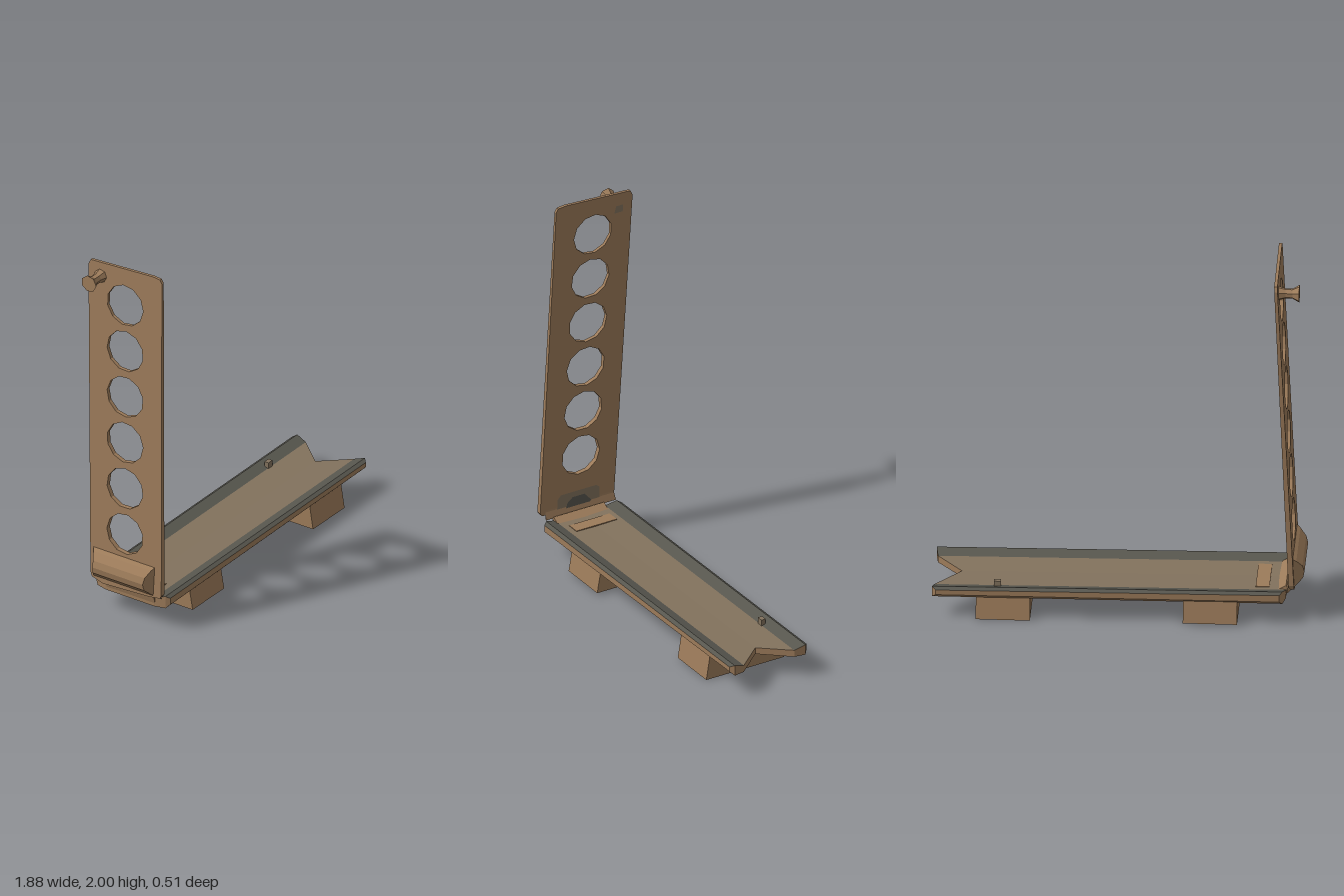
import * as THREE from 'three';

const mat = (name, color) => {
  const m = new THREE.MeshStandardMaterial({ color, flatShading: true });
  m.name = name;
  return m;
};

export function createModel() {
  const wood = mat('brown wood', 0x9c7b5a);
  const channel = mat('greyed wood', 0x82725d);
  const grey = mat('dark grey', 0x57564e);
  const root = new THREE.Group();
  root.name = 'hingedSplint';

  const add = (name, geometry, material, parent = root) => {
    const mesh = new THREE.Mesh(geometry, material);
    mesh.name = name;
    parent.add(mesh);
    return mesh;
  };
  const moveVertices = (geometry, rule) => {
    const p = geometry.attributes.position;
    const v = new THREE.Vector3();
    for (let i = 0; i < p.count; i++) {
      rule(v.fromBufferAttribute(p, i));
      p.setXYZ(i, v.x, v.y, v.z);
    }
    geometry.computeVertexNormals();
    return geometry;
  };
  const quads = (list) => {
    const pos = [];
    for (const [a, b, c, d] of list) pos.push(...a, ...b, ...c, ...a, ...c, ...d);
    const g = new THREE.BufferGeometry();
    g.setAttribute('position', new THREE.Float32BufferAttribute(pos, 3));
    g.computeVertexNormals();
    return g;
  };
  const toShape = (pts) => new THREE.Shape(pts.map(([x, y]) => new THREE.Vector2(x, y)));

  // Base board: lengthwise columns from front to back [z, top, bottom, xStart, xEnd]
  const columns = [
    [0.23, 0.172, 0.14, -0.82, 0.92], [0.21, 0.183, 0.12, -0.835, 0.94],
    [0.15, 0.163, 0.12, -0.85, 0.93], [0, 0.16, 0.12, -0.85, 0.8],
    [-0.15, 0.163, 0.12, -0.85, 0.93], [-0.21, 0.183, 0.12, -0.835, 0.94],
    [-0.23, 0.172, 0.14, -0.82, 0.92],
  ];
  const corner = (c, end, top) => {
    const x = end ? c[4] : c[3];
    return [x, top ? c[1] - 0.006 * x : c[2], c[0] + 0.012 - 0.014 * x];
  };
  const body = [], rails = [], floor = [];
  const side = (c) => [corner(c, 0, 0), corner(c, 1, 0), corner(c, 1, 1), corner(c, 0, 1)];
  for (let i = 0; i < columns.length - 1; i++) {
    const a = columns[i], b = columns[i + 1];
    (i === 2 || i === 3 ? floor : rails).push(
      [corner(a, 0, 1), corner(a, 1, 1), corner(b, 1, 1), corner(b, 0, 1)]);
    body.push(
      [corner(a, 0, 0), corner(b, 0, 0), corner(b, 1, 0), corner(a, 1, 0)],
      [corner(a, 1, 0), corner(b, 1, 0), corner(b, 1, 1), corner(a, 1, 1)],
      [corner(a, 0, 0), corner(a, 0, 1), corner(b, 0, 1), corner(b, 0, 0)]);
  }
  body.push(side(columns[0]), side(columns[6]).reverse());
  const base = new THREE.Group();
  base.name = 'baseBoard';
  root.add(base);
  add('boardBody', quads(body), wood, base);
  add('sideRails', quads(rails), grey, base);
  add('channelFloor', quads(floor), channel, base);

  // Worn patch and small pin on the board
  add('wornPatch', new THREE.BoxGeometry(0.07, 0.006, 0.24), wood, base).position.set(-0.73, 0.167, 0.02);
  add('pin', new THREE.BoxGeometry(0.035, 0.035, 0.025), channel, base).position.set(0.61, 0.175, -0.155);

  // Two feet, flaring towards the ground
  for (const [x, bottom] of [[-0.47, 0.01], [0.58, 0]]) {
    const h = 0.13 - bottom;
    const g = moveVertices(new THREE.BoxGeometry(0.275, h, 0.42), (v) => {
      if (v.y < 0) v.z *= 1.1;
    });
    add('foot', g, wood).position.set(x, bottom + h / 2, 0.01);
  }

  // Leaning upright: d = 0 is its outer face, d = 1 its inner face
  const lean = (y, d) => {
    const t = (y - 0.2) / 1.8;
    return THREE.MathUtils.lerp(-0.895 + 0.082 * t, -0.867 + 0.07 * t, d);
  };
  const upright = new THREE.Group();
  upright.name = 'upright';
  root.add(upright);
  const outline = toShape([
    [-0.25, 0.22], [-0.24, 0.205], [-0.17, 0.195], [0.11, 0.18], [0.18, 0.2], [0.19, 0.225],
    [0.258, 1.95], [0.245, 1.977], [-0.14, 2], [-0.185, 1.995], [-0.197, 1.975],
  ]);
  for (let i = 0; i < 6; i++) {
    const hole = new THREE.Path();
    const cx = -0.015 + 0.008 * i, cy = 0.5 + 0.257 * i;
    for (let k = 0; k < 11; k++) {
      const a = -(k / 11) * Math.PI * 2 + i * 0.4;
      const x = cx + 0.112 * Math.cos(a), y = cy + 0.112 * Math.sin(a);
      if (k) hole.lineTo(x, y); else hole.moveTo(x, y);
    }
    hole.closePath();
    outline.holes.push(hole);
  }
  const plank = new THREE.ExtrudeGeometry(outline, { depth: 1, bevelEnabled: false }).rotateY(Math.PI / 2);
  add('perforatedPlank', moveVertices(plank, (v) => { v.x = lean(v.y, v.x); }), wood, upright);

  // Thin stains on the inner face
  const stain = (name, pts, material, lift) => {
    const g = new THREE.ShapeGeometry(toShape(pts)).rotateY(Math.PI / 2);
    add(name, moveVertices(g, (v) => { v.x = lean(v.y, 1) + lift; }), material, upright);
  };
  stain('paleStain', [[-0.15, 0.215], [0.1, 0.215], [0.1, 0.28], [0.08, 0.295], [-0.13, 0.295], [-0.15, 0.27]], channel, 0.002);
  stain('darkStain', [[-0.1, 0.205], [0.04, 0.195], [0.05, 0.22], [0.01, 0.265], [-0.06, 0.265], [-0.09, 0.24]], grey, 0.004);
  stain('topStain', [[0.15, 1.87], [0.2, 1.87], [0.2, 1.91], [0.16, 1.91]], channel, 0.002);

  // Hinge: rounded back piece and lower knuckle, extruded along z
  const alongZ = (name, pts, z0, z1, taper) => {
    const g = new THREE.ExtrudeGeometry(toShape(pts), { depth: z1 - z0, bevelEnabled: false }).translate(0, 0, z0);
    add(name, moveVertices(g, (v) => { v.z += Math.sign(v.z) * taper * Math.max(0, v.x + 0.945); }), wood);
  };
  alongZ('hingeBack', [
    [-0.855, 0.18], [-0.865, 0.22], [-0.88, 0.375], [-0.905, 0.355],
    [-0.935, 0.32], [-0.945, 0.285], [-0.938, 0.25], [-0.89, 0.205],
  ], -0.14, 0.17, 0.6);
  alongZ('hingeKnuckle', [
    [-0.85, 0.19], [-0.86, 0.175], [-0.845, 0.12], [-0.81, 0.1], [-0.78, 0.122], [-0.8, 0.16],
  ], -0.12, 0.18, 0);

  // Waisted peg near the top
  const peg = new THREE.LatheGeometry([
    [0, -0.06], [0.038, -0.06], [0.026, -0.02], [0.026, 0.015], [0.046, 0.05], [0, 0.05],
  ].map(([r, y]) => new THREE.Vector2(r, y)), 7).rotateZ(Math.PI / 2);
  add('peg', peg, wood).position.set(-0.872, 1.905, -0.18);

  return root;
}
